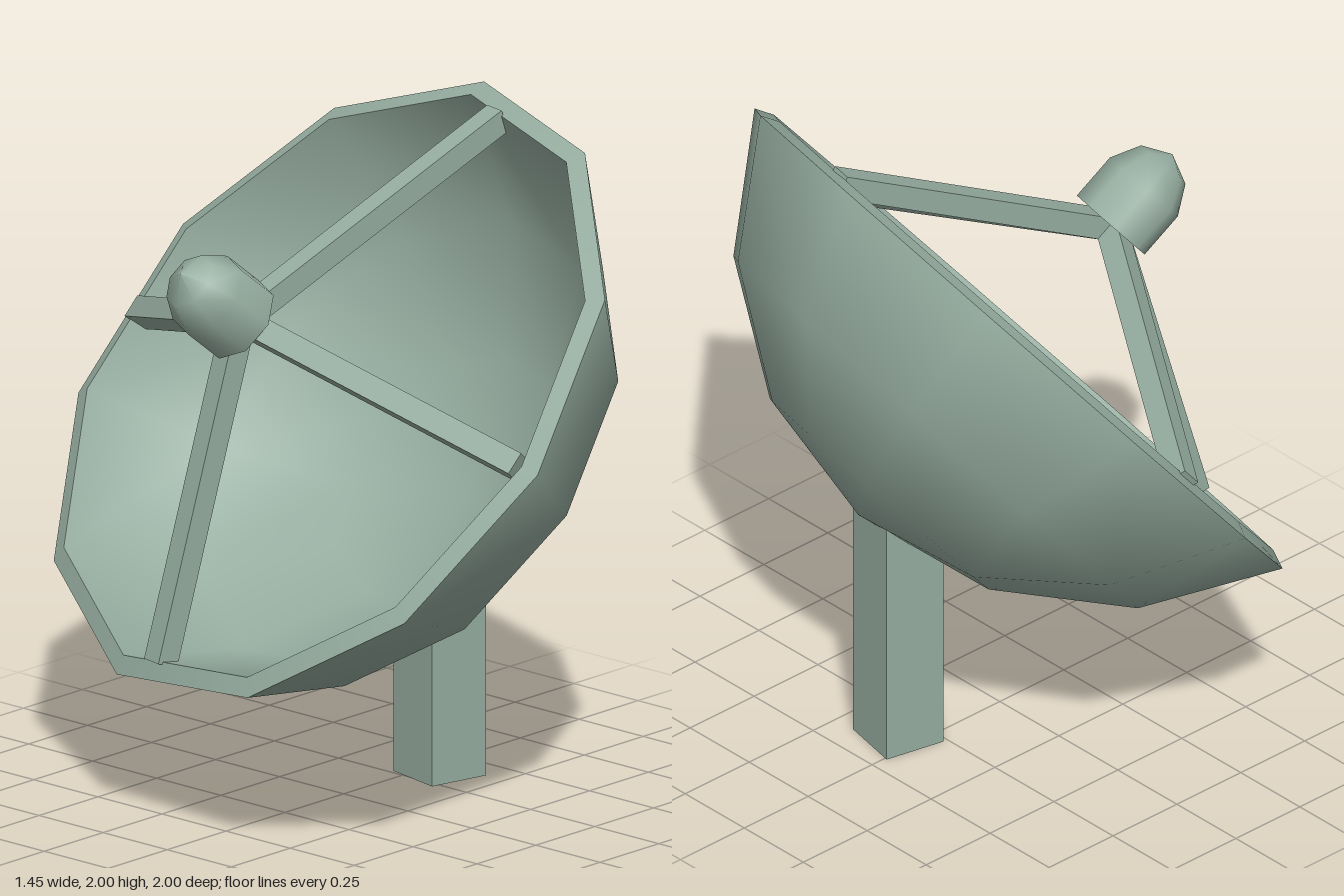
import * as THREE from 'three';

const SIDES = 11;
const OUTER = 1.105, INNER = 1.045; // shell sphere radii
const CENTRE = 0.42; // sphere centre above the rim plane, along the dish axis
const CAP = THREE.MathUtils.degToRad(67.6);

const material = new THREE.MeshStandardMaterial({ color: 0x96ada0 });

function addMesh(parent, name, geometry) {
  const mesh = new THREE.Mesh(geometry, material);
  mesh.name = name;
  parent.add(mesh);
  return mesh;
}

const lathe = (points, sides) =>
  new THREE.LatheGeometry(points.map(([r, y]) => new THREE.Vector2(r, y)), sides);

// Point of a cap profile, step 0 (pole) to 3 (rim)
const capPoint = (radius, step) => {
  const a = (CAP * step) / 3;
  return [radius * Math.sin(a), CENTRE - radius * Math.cos(a)];
};

// Spherical bowl surface with radial normals; sign -1 faces the hollow side
function bowl(radius, steps, sign) {
  const geometry = lathe(steps.map((s) => capPoint(radius, s)), SIDES);
  const p = geometry.attributes.position, n = new THREE.Vector3();
  for (let i = 0; i < p.count; i++) {
    n.fromBufferAttribute(p, i);
    n.y -= CENTRE;
    n.normalize().multiplyScalar(sign);
    geometry.attributes.normal.setXYZ(i, n.x, n.y, n.z);
  }
  return geometry;
}

export function createModel() {
  const model = new THREE.Group();
  model.name = 'satelliteDish';

  // Tilted assembly: local y is the dish axis, local z points to the top rim corner
  const dish = new THREE.Group();
  dish.name = 'dishAssembly';
  const axis = new THREE.Vector3(-0.752, 0.641, -0.153).normalize();
  const side = new THREE.Vector3().crossVectors(axis, new THREE.Vector3(0.65, 0.76, -0.008)).normalize();
  const up = new THREE.Vector3().crossVectors(side, axis);
  dish.quaternion.setFromRotationMatrix(new THREE.Matrix4().makeBasis(side, axis, up));
  dish.position.set(-0.055, 1.225, -0.004);
  model.add(dish);

  // Reflector shell
  addMesh(dish, 'reflectorBack', bowl(OUTER, [0, 1, 2, 3], 1));
  addMesh(dish, 'reflectorFront', bowl(INNER, [3, 2, 1, 0], -1));
  addMesh(dish, 'reflectorRim', lathe([capPoint(OUTER, 3), capPoint(INNER, 3)], SIDES));

  // Four struts from the rim to the feed
  const reach = 0.93, height = 0.42;
  const length = Math.hypot(reach, height);
  for (let i = 0; i < 4; i++) {
    const arm = new THREE.Group();
    arm.name = 'strutArm' + (i + 1);
    arm.rotation.y = -THREE.MathUtils.degToRad(8.2 + 90 * i);
    const strut = addMesh(arm, 'strut', new THREE.BoxGeometry(0.07, 0.07, length));
    strut.position.set(0, height / 2, reach / 2);
    strut.rotation.x = Math.atan2(height, reach);
    dish.add(arm);
  }

  // Feed: round-ended receiver on the axis
  addMesh(dish, 'feedBody', lathe([[0.13, 0.42], [0.13, 0.565], [0.085, 0.65], [0, 0.69]], 8));
  const feedBase = addMesh(dish, 'feedBase', new THREE.CircleGeometry(0.13, 8));
  feedBase.rotation.x = Math.PI / 2;
  feedBase.position.y = 0.42;

  // Post: square column whose top follows the shell and ends inside its thickness
  const postGeometry = new THREE.BoxGeometry(0.19, 1, 0.19, 4, 1, 4);
  postGeometry.rotateY(-0.21);
  postGeometry.translate(0.3375, 0.5, 0.065);
  const centre = axis.clone().multiplyScalar(CENTRE).add(dish.position);
  const p = postGeometry.attributes.position;
  for (let i = 0; i < p.count; i++) {
    if (p.getY(i) < 0.5) continue;
    const dx = p.getX(i) - centre.x, dz = p.getZ(i) - centre.z;
    p.setY(i, centre.y - Math.sqrt(1.052 ** 2 - dx * dx - dz * dz));
  }
  postGeometry.computeVertexNormals();
  addMesh(model, 'post', postGeometry);

  return model;
}
